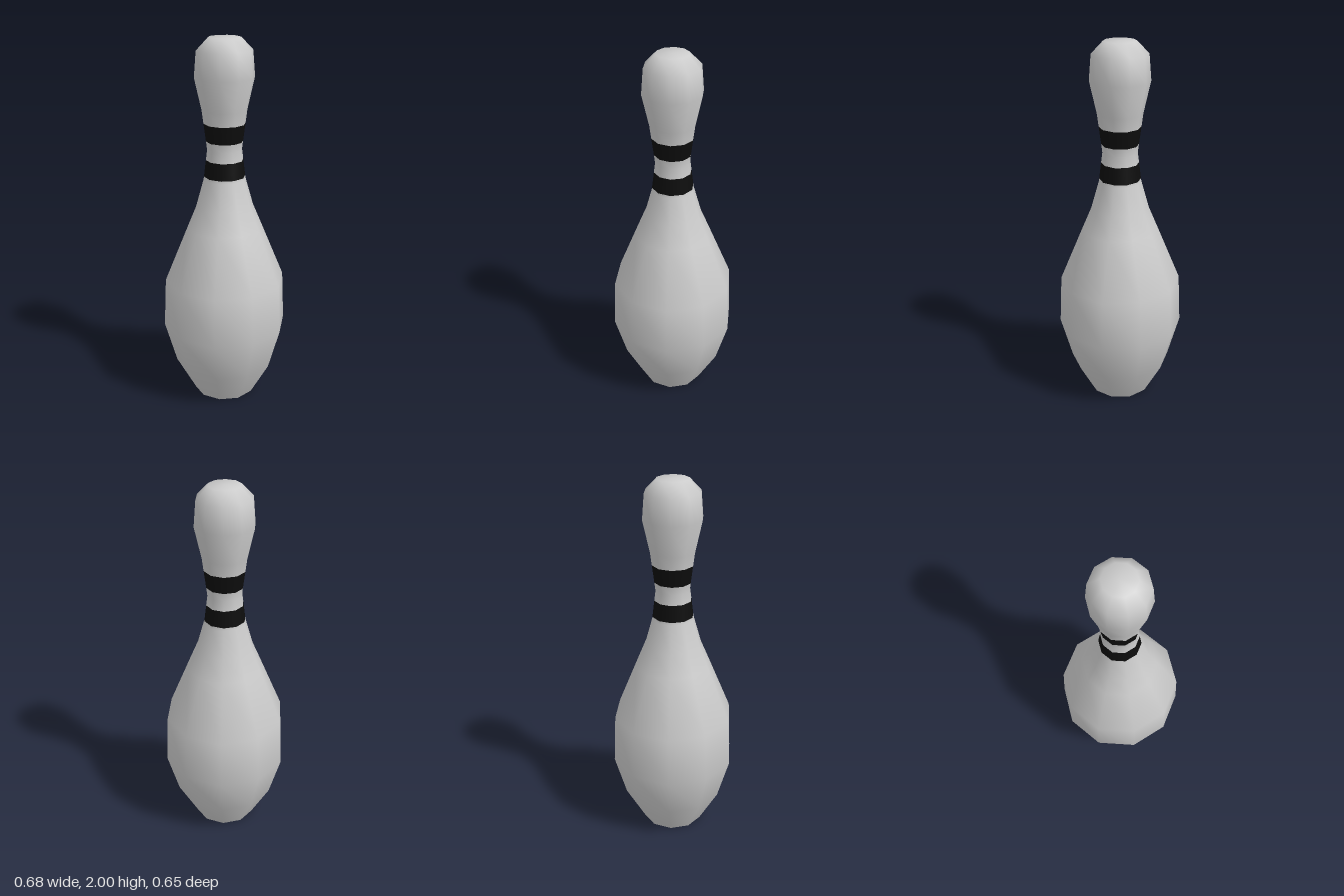
import * as THREE from 'three';

const SIDES = 10;

// Profile from base to crown: [radius, height, material of the band that starts here]
const PROFILE = [
  [0.17, 0, 'body'], [0.275, 0.19, 'body'], [0.34, 0.42, 'body'], [0.328, 0.69, 'body'],
  [0.205, 0.99, 'body'], [0.155, 1.11, 'body'], [0.113, 1.26, 'body'],
  [0.111, 1.275, 'lowerStripe'], [0.1, 1.365, 'body'], [0.093, 1.42, 'body'],
  [0.0985, 1.465, 'upperStripe'], [0.111, 1.56, 'body'], [0.12, 1.63, 'body'],
  [0.158, 1.8, 'body'], [0.147, 1.935, 'body'], [0.085, 2, 'body'], [0, 2, 'body'],
];

export function createModel() {
  const pin = new THREE.Group();
  pin.name = 'bowlingPin';

  const white = new THREE.MeshStandardMaterial({ color: 0xcccccc });
  white.name = 'paleGrey';
  const black = new THREE.MeshStandardMaterial({ color: 0x0d0d0d });
  black.name = 'black';

  const points = PROFILE.map(([r, y]) => new THREE.Vector2(r, y));
  const lathe = new THREE.LatheGeometry(points, SIDES, Math.PI / 2);
  const rows = points.length - 1;

  // Split one smooth lathe into body and stripes, so the shading runs on across them
  const addPart = (name, material) => {
    const index = [];
    for (let i = 0; i < SIDES; i++) {
      for (let j = 0; j < rows; j++) {
        if (PROFILE[j][2] !== name) continue;
        const start = (i * rows + j) * 6;
        for (let k = 0; k < 6; k++) index.push(lathe.index.getX(start + k));
      }
    }
    const geometry = lathe.clone();
    geometry.setIndex(index);
    const mesh = new THREE.Mesh(geometry, material);
    mesh.name = name;
    pin.add(mesh);
  };
  addPart('body', white);
  addPart('lowerStripe', black);
  addPart('upperStripe', black);

  // Flat underside
  const base = new THREE.Mesh(new THREE.CircleGeometry(PROFILE[0][0], SIDES), white);
  base.name = 'base';
  base.rotation.x = Math.PI / 2;
  pin.add(base);

  // Slight turn about the upright axis
  for (const part of pin.children) {
    part.updateMatrix();
    part.geometry.applyMatrix4(part.matrix).rotateY(0.02);
    part.rotation.set(0, 0, 0);
  }
  return pin;
}
